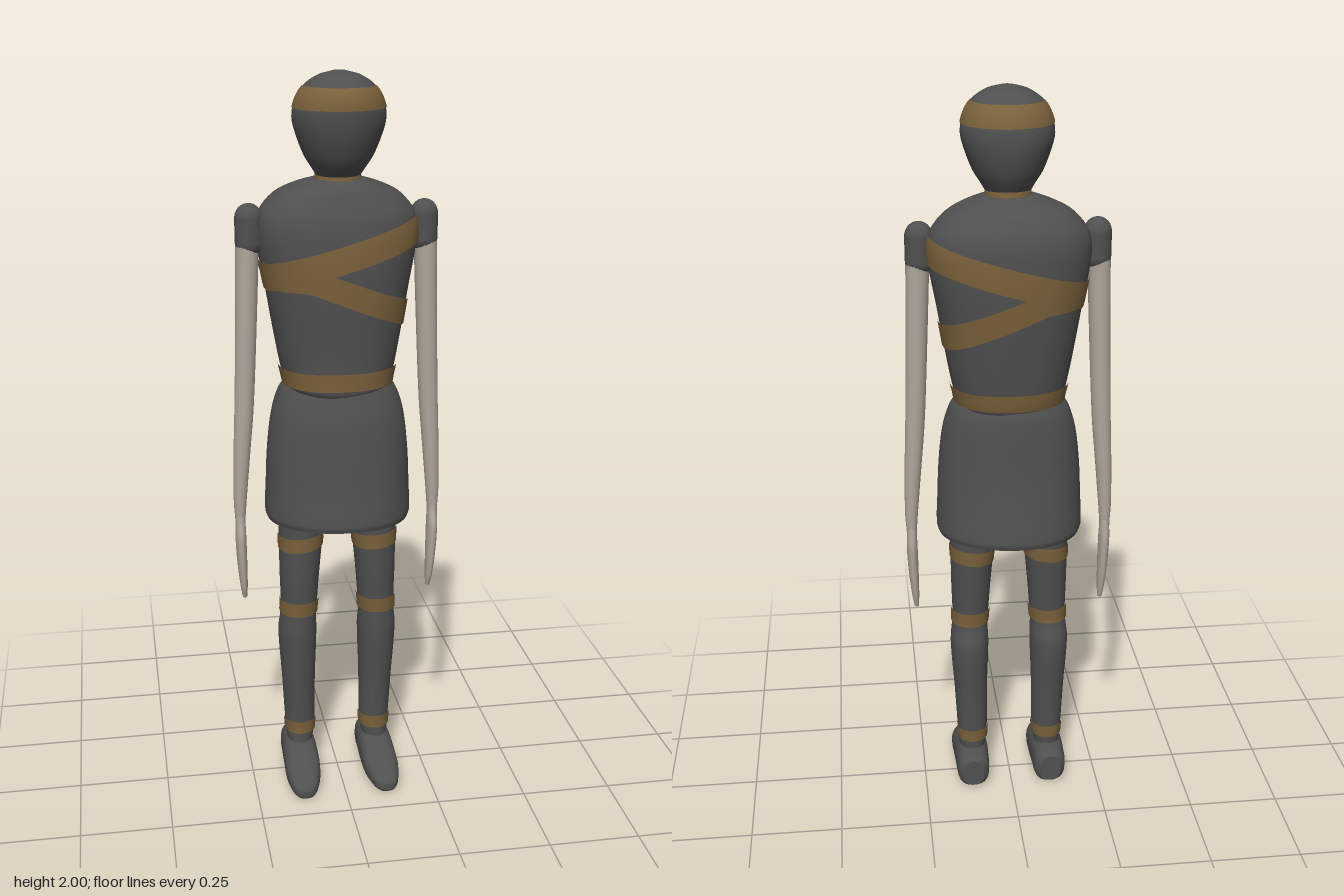
import * as THREE from 'three';

const dark = new THREE.MeshStandardMaterial({ color: 0x505050 });
dark.name = 'dark cloth';
const brown = new THREE.MeshStandardMaterial({ color: 0x7a613b });
brown.name = 'brown trim';
const pale = new THREE.MeshStandardMaterial({ color: 0xb0a79c });
pale.name = 'pale skin';

// Cross-sections: [height, centre x, centre z, half width, half depth]
const TORSO = [
  [1.155, 0, 0, 0.09, 0.11], [1.18, 0, 0, 0.136, 0.124], [1.21, 0, -0.003, 0.147, 0.129],
  [1.3, 0, -0.007, 0.165, 0.137], [1.45, 0, -0.01, 0.19, 0.15], [1.57, 0, -0.012, 0.21, 0.153],
  [1.64, 0, -0.014, 0.205, 0.145], [1.69, 0, -0.012, 0.165, 0.122],
  [1.715, 0, -0.003, 0.115, 0.1], [1.733, 0, 0.01, 0.06, 0.058]];
const SKIRT = [
  [0.808, 0, 0, 0.195, 0.168], [0.825, 0, 0, 0.2, 0.172], [0.9, 0, 0.001, 0.197, 0.16],
  [1.0, 0, 0.003, 0.192, 0.147], [1.1, 0, 0.001, 0.18, 0.137],
  [1.16, 0, -0.003, 0.162, 0.127], [1.195, 0, -0.003, 0.14, 0.118]];
const HEAD = [
  [1.735, 0, 0.015, 0.055, 0.052], [1.76, 0, 0.02, 0.07, 0.075], [1.79, 0, 0.022, 0.089, 0.094],
  [1.84, 0, 0.025, 0.109, 0.112], [1.885, 0, 0.028, 0.12, 0.118], [1.93, 0, 0.033, 0.112, 0.113],
  [1.965, 0, 0.035, 0.09, 0.092], [1.99, 0, 0.035, 0.052, 0.054], [2.0, 0, 0.035, 0.015, 0.015]];
const LEG = [
  [0.105, 0.11, -0.008, 0.037, 0.047], [0.15, 0.109, -0.01, 0.042, 0.048], [0.3, 0.112, -0.008, 0.047, 0.056],
  [0.45, 0.114, -0.007, 0.054, 0.066], [0.51, 0.112, 0.001, 0.05, 0.058], [0.55, 0.11, 0.002, 0.051, 0.06],
  [0.63, 0.108, 0.002, 0.055, 0.066], [0.75, 0.103, 0, 0.061, 0.073], [0.85, 0.1, 0, 0.065, 0.076]];
const ARM = [
  [0.8, 0.27, 0, 0.014, 0.018], [0.86, 0.269, 0, 0.018, 0.021], [1.0, 0.261, 0, 0.023, 0.025],
  [1.12, 0.253, 0, 0.026, 0.027], [1.3, 0.245, 0, 0.028, 0.03], [1.58, 0.235, 0, 0.031, 0.034]];
const HAND = [
  [0.565, 0.262, 0, 0.006, 0.007], [0.6, 0.264, 0.002, 0.01, 0.018], [0.68, 0.268, 0.003, 0.014, 0.027],
  [0.75, 0.27, 0.002, 0.015, 0.03], [0.79, 0.27, 0, 0.014, 0.022], [0.82, 0.27, 0, 0.014, 0.018]];
// The foot is lofted from heel to toe and then laid flat
const FOOT = [
  [-0.1, 0.112, -0.052, 0.03, 0.04], [-0.085, 0.112, -0.054, 0.044, 0.05], [-0.03, 0.112, -0.057, 0.048, 0.055],
  [0.03, 0.112, -0.052, 0.05, 0.05], [0.1, 0.114, -0.038, 0.049, 0.036],
  [0.15, 0.116, -0.028, 0.038, 0.026], [0.175, 0.117, -0.022, 0.025, 0.018], [0.182, 0.117, -0.02, 0.012, 0.01]];

// Smoothly interpolated cross-section at height y
function sectionAt(rows, y) {
  const n = rows.length;
  let i = 0;
  while (i < n - 2 && y > rows[i + 1][0]) i++;
  const a = rows[i], b = rows[i + 1], h = b[0] - a[0];
  const t = Math.min(1, Math.max(0, (y - a[0]) / h));
  const slope = (k, c) => {
    const p = rows[Math.max(0, k - 1)], q = rows[Math.min(n - 1, k + 1)];
    return (q[c] - p[c]) / (q[0] - p[0]);
  };
  return a.map((v, c) => c === 0 ? y :
    v * (1 + 2 * t) * (1 - t) ** 2 + b[c] * t * t * (3 - 2 * t) +
    h * (slope(i, c) * t * (1 - t) ** 2 + slope(i + 1, c) * t * t * (t - 1)));
}

function surfacePoint(rows, y, angle, side, power, lift = 0) {
  const [, cx, cz, rx, rz] = sectionAt(rows, y);
  const round = v => Math.sign(v) * Math.abs(v) ** (2 / power);
  return [side * cx + (rx + lift) * round(Math.cos(angle)), y, cz + (rz + lift) * round(Math.sin(angle))];
}

// Grid of rings that closes on itself, with optional flat end caps
function ringGeometry(rings, segments, point, capped) {
  const pos = [], index = [];
  for (let i = 0; i < rings; i++)
    for (let j = 0; j < segments; j++) pos.push(...point(i, j / segments * Math.PI * 2));
  for (let i = 0; i < rings - 1; i++)
    for (let j = 0; j < segments; j++) {
      const k = (j + 1) % segments, a = i * segments + j, b = i * segments + k;
      index.push(a, a + segments, b, b, a + segments, b + segments);
    }
  if (capped) for (const i of [0, rings - 1]) {
    const start = pos.length / 3, centre = [0, 0, 0];
    for (let j = 0; j < segments; j++) {
      const p = point(i, j / segments * Math.PI * 2);
      pos.push(...p);
      p.forEach((v, c) => { centre[c] += v / segments; });
    }
    pos.push(...centre);
    for (let j = 0; j < segments; j++) {
      const p = start + j, q = start + (j + 1) % segments, m = start + segments;
      index.push(m, ...(i === 0 ? [p, q] : [q, p]));
    }
  }
  const g = new THREE.BufferGeometry();
  g.setAttribute('position', new THREE.Float32BufferAttribute(pos, 3));
  g.setIndex(index);
  g.computeVertexNormals();
  return g;
}

function addMesh(group, name, geometry, material) {
  const mesh = new THREE.Mesh(geometry, material);
  mesh.name = name;
  group.add(mesh);
  return mesh;
}

function loft(group, name, rows, material, side = 1, power = 2, segments = 32) {
  const heights = [];
  rows.forEach((r, i) => {
    if (i) for (let k = 1; k <= 4; k++) heights.push(rows[i - 1][0] + (r[0] - rows[i - 1][0]) * k / 4);
    else heights.push(r[0]);
  });
  return addMesh(group, name, ringGeometry(heights.length, segments,
    (i, a) => surfacePoint(rows, heights[i], a, side, power), true), material);
}

// Thin band hugging a lofted part; middle(x) gives its height
function band(group, name, rows, middle, half, side = 1, power = 2, lift = 0.004) {
  const steps = 6;
  return addMesh(group, name, ringGeometry(steps + 1, 64, (i, a) => {
    const x = surfacePoint(rows, middle(0), a, side, power)[0];
    const y = middle(x) + half * (2 * i / steps - 1);
    return surfacePoint(rows, y, a, side, power, lift);
  }, false), brown);
}

export function createModel() {
  const model = new THREE.Group();
  model.name = 'figure';

  // Body and clothing
  loft(model, 'torso', TORSO, dark, 1, 2.3, 48);
  const skirt = loft(model, 'skirt', SKIRT, dark, 1, 2.2, 48);
  skirt.rotation.y = -0.12;
  band(model, 'waistBand', TORSO, () => 1.215, 0.024, 1, 2.3, 0.006);
  band(model, 'upperStrap', TORSO, x => 1.543 + 0.29 * x, 0.036, 1, 2.3);
  band(model, 'lowerStrap', TORSO, x => Math.min(1.49, 1.455 - 0.4 * x), 0.034, 1, 2.3, 0.0045);

  // Head and neck
  loft(model, 'head', HEAD, dark);
  band(model, 'headBand', HEAD, () => 1.937, 0.027, 1, 2, 0.002);
  const neck = addMesh(model, 'neck', new THREE.CylinderGeometry(0.057, 0.065, 0.055, 32), brown);
  neck.position.set(0, 1.731, 0.013);

  // Limbs
  for (const [side, label] of [[1, 'left'], [-1, 'right']]) {
    loft(model, label + 'Arm', ARM, pale, side, 2, 20);
    loft(model, label + 'Hand', HAND, pale, side, 2, 20);
    const sleeve = addMesh(model, label + 'Sleeve', new THREE.CapsuleGeometry(0.0365, 0.06, 8, 24), dark);
    sleeve.position.set(side * 0.231, 1.6, 0);
    sleeve.scale.y = 1.05;
    loft(model, label + 'Leg', LEG, dark, side, 2.1);
    band(model, label + 'ThighBand', LEG, x => 0.738 + 0.1 * (x - side * 0.11), 0.021, side, 2.1, 0.003);
    band(model, label + 'KneeBand', LEG, () => 0.538, 0.021, side, 2.1, 0.004);
    band(model, label + 'AnkleBand', LEG, () => 0.153, 0.019, side, 2.1, 0.003);
    const foot = loft(model, label + 'Foot', FOOT, dark, side, 2.7);
    foot.rotation.x = Math.PI / 2;
  }
  return model;
}
